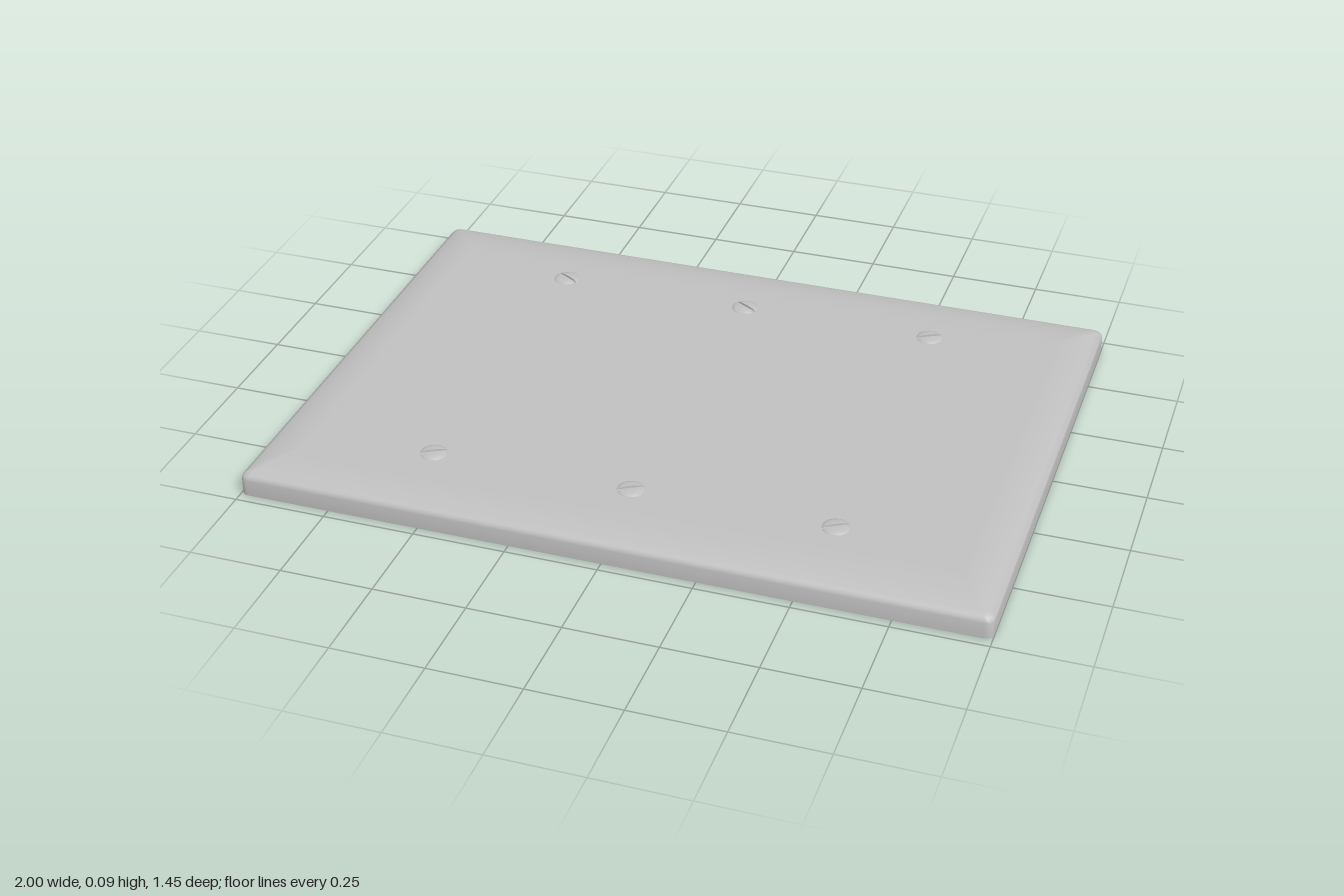
import * as THREE from 'three';
import { toCreasedNormals } from 'three/addons/utils/BufferGeometryUtils.js';

const CORNER_STEPS = 4;
const SCREW_X = [-0.547, 0, 0.545];
const SCREW_Z = 0.493;
const HOLE_R = 0.031;

// Rounded rectangle outline as [x, z] points
function outline(hx, hz, r) {
  const points = [];
  for (let q = 0; q < 4; q++) {
    const sx = q === 0 || q === 3 ? 1 : -1;
    const sz = q < 2 ? 1 : -1;
    for (let i = 0; i <= CORNER_STEPS; i++) {
      const a = (q + i / CORNER_STEPS) * Math.PI / 2;
      points.push([sx * (hx - r) + r * Math.cos(a), sz * (hz - r) + r * Math.sin(a)]);
    }
  }
  return points;
}

// Skin through a row of rounded rectangles: [halfX, halfZ, radius, y]
function loft(sections) {
  const positions = [], indices = [];
  const n = 4 * (CORNER_STEPS + 1);
  sections.forEach(([hx, hz, r, y], j) => {
    outline(hx, hz, r).forEach(([x, z]) => positions.push(x, y, z));
    if (j === 0) return;
    for (let i = 0; i < n; i++) {
      const k = (i + 1) % n;
      const a = (j - 1) * n + i, c = (j - 1) * n + k;
      const b = j * n + i, d = j * n + k;
      indices.push(a, c, b, b, c, d);
    }
  });
  const geometry = new THREE.BufferGeometry();
  geometry.setAttribute('position', new THREE.Float32BufferAttribute(positions, 3));
  geometry.setIndex(indices);
  return toCreasedNormals(geometry, 0.9);
}

// Flat panel pierced by the screw holes
function panel([hx, hz, r, y], facing) {
  const shape = new THREE.Shape(outline(hx, hz, r).map(([x, z]) => new THREE.Vector2(x, z)));
  for (const x of SCREW_X) {
    for (const z of [-SCREW_Z, SCREW_Z]) {
      shape.holes.push(new THREE.Path().absarc(x, z, HOLE_R, 0, Math.PI * 2, true));
    }
  }
  return new THREE.ShapeGeometry(shape, 12).rotateX(-facing * Math.PI / 2).translate(0, y, 0);
}

// Domed screw head, made of two halves either side of a slot
function createScrew(material) {
  const screw = new THREE.Group();
  const slot = 0.005;
  const profile = [[0.037, 0.077], [0.036, 0.08], [0.028, 0.0835], [0.015, 0.085], [0, 0.0855]];

  const dome = new THREE.LatheGeometry(profile.map(([r, y]) => new THREE.Vector2(r, y)), 16, 0, Math.PI);
  const p = dome.attributes.position;
  for (let i = 0; i < p.count; i++) p.setX(i, Math.max(p.getX(i), slot));

  const mirrored = profile.slice(0, -1).reverse().map(([r, y]) => [-r, y]);
  const wallShape = new THREE.Shape([...profile, ...mirrored].map(([z, y]) => new THREE.Vector2(z, y)));
  const wall = new THREE.ShapeGeometry(wallShape).rotateY(-Math.PI / 2).translate(slot, 0, 0);

  for (const turn of [0, Math.PI]) {
    const half = new THREE.Group();
    half.name = 'screwHeadHalf';
    half.add(new THREE.Mesh(dome, material), new THREE.Mesh(wall, material));
    half.rotation.y = turn;
    screw.add(half);
  }

  // Disc that forms the slot floor and closes the hole underneath
  const core = new THREE.Mesh(new THREE.CylinderGeometry(0.034, 0.034, 0.006, 24), material);
  core.name = 'screwCore';
  core.position.y = 0.0765;
  screw.add(core);
  return screw;
}

export function createModel() {
  const model = new THREE.Group();
  model.name = 'blankWallPlate';
  const plateGrey = new THREE.MeshStandardMaterial({ color: 0xc0c0c0 });
  plateGrey.name = 'plate grey';

  const add = (name, geometry) => {
    const mesh = new THREE.Mesh(geometry, plateGrey);
    mesh.name = name;
    model.add(mesh);
    return mesh;
  };

  // Hollow shell: outside bevel and wall, bottom rim, then back up inside
  const top = [0.89, 0.58, 0.005, 0.078];
  const ceiling = [0.9, 0.59, 0.005, 0.066];
  add('shell', loft([
    top,
    [0.91, 0.605, 0.006, 0.0775],
    [0.95, 0.66, 0.01, 0.0715],
    [0.982, 0.703, 0.015, 0.063],
    [0.993, 0.716, 0.02, 0.058],
    [0.998, 0.7215, 0.022, 0.052],
    [1, 0.7235, 0.022, 0.044],
    [1, 0.7235, 0.022, 0],
    [0.988, 0.7115, 0.012, 0],
    [0.986, 0.7095, 0.012, 0.046],
    [0.945, 0.655, 0.008, 0.06],
    ceiling,
  ]));
  add('topFace', panel(top, 1));
  add('underside', panel(ceiling, -1));

  // Screws and the walls of their holes
  const holeWall = new THREE.CylinderGeometry(HOLE_R, HOLE_R, 0.012, 24, 1, true);
  holeWall.scale(-1, 1, 1);
  holeWall.setIndex(Array.from(holeWall.index.array));
  const normals = holeWall.attributes.normal;
  for (let i = 0; i < normals.count; i++) {
    normals.setXYZ(i, -normals.getX(i), normals.getY(i), -normals.getZ(i));
  }
  SCREW_X.forEach((x, column) => {
    for (const side of [-1, 1]) {
      add('screwHole', holeWall).position.set(x, 0.072, side * SCREW_Z);
      const screw = createScrew(plateGrey);
      screw.name = 'screw';
      screw.position.set(x, 0, side * SCREW_Z);
      screw.rotation.y = side < 0 && column < 2 ? Math.PI / 3 : Math.PI * 2 / 3;
      model.add(screw);
    }
  });
  return model;
}
